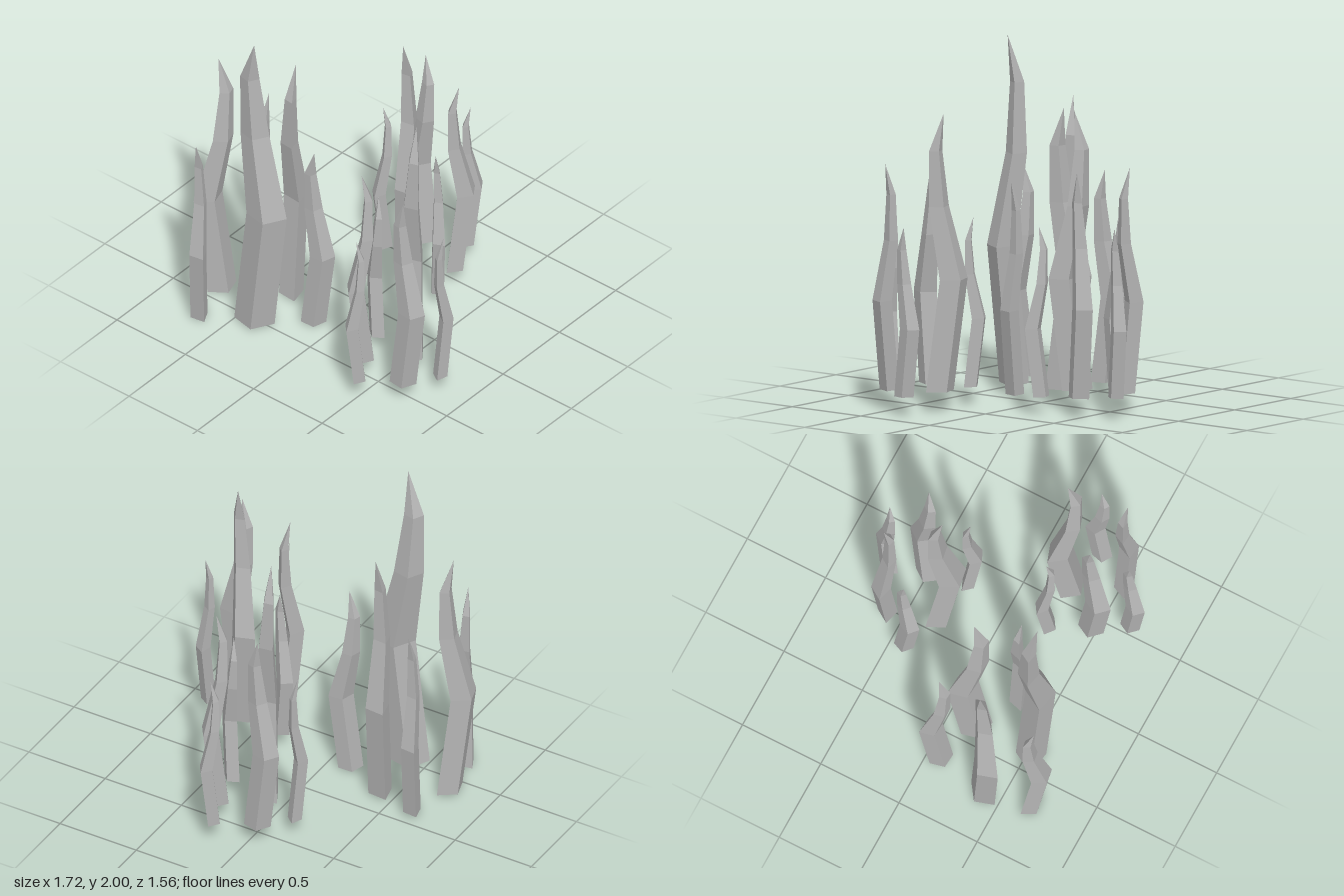
import * as THREE from 'three';

// Slanted four-sided cross-section (x, z), listed anticlockwise from above
const SECTION = [[-0.1075, 0.0485], [0.0355, 0.0785], [0.1075, -0.0485], [-0.0355, -0.0785]];

// Levels of a full-size spike: height, section scale, centre x, centre z
const LEVELS = [
  [0, 1, 0, 0],
  [0.8, 1, 0.097, 0.01],
  [1.32, 0.72, -0.006, -0.012],
  [1.72, 0.48, -0.031, 0.003],
];
const TIP = [0.022, 1.99, 0.029];

// Spikes of one cluster, relative to the main spike: name, x, y, z, turn in degrees, scale
const SPIKES = [
  ['mainSpike', 0, 0.01, 0, 0, 1],
  ['mediumSpikeA', -0.341, 0.01, -0.126, 133, 0.81],
  ['mediumSpikeB', -0.011, 0.01, -0.34, 245, 0.81],
  ['smallSpikeA', 0.255, 0, -0.215, -14, 0.61],
  ['smallSpikeB', -0.272, 0.025, -0.428, 245, 0.61],
  ['smallSpikeC', -0.282, 0, 0.15, 51, 0.61],
];

// Clusters: name, x, y, z, turn in degrees, scale
const CLUSTERS = [
  ['rightCluster', -0.39, 0, 0.52, 0, 1],
  ['leftCluster', 0.568, 0.104, 0.276, -138.6, 0.8],
  ['backCluster', 0.05, 0.104, -0.303, 50.7, 0.8],
];

// Bent spike: stacked sections joined by quads, closed by a base and a point
function spikeGeometry() {
  const positions = [];
  const index = [];
  for (const [y, s, cx, cz] of LEVELS) {
    for (const [x, z] of SECTION) positions.push(cx + x * s, y, cz + z * s);
  }
  positions.push(...TIP);
  const last = (LEVELS.length - 1) * 4;
  for (let i = 0; i < 4; i++) {
    const j = (i + 1) % 4;
    for (let k = 0; k < last; k += 4) {
      index.push(k + i, k + j, k + 4 + j, k + i, k + 4 + j, k + 4 + i);
    }
    index.push(last + i, last + j, last + 4);
  }
  index.push(0, 3, 2, 0, 2, 1);

  const indexed = new THREE.BufferGeometry();
  indexed.setAttribute('position', new THREE.Float32BufferAttribute(positions, 3));
  indexed.setIndex(index);
  const geometry = indexed.toNonIndexed();
  geometry.computeVertexNormals();
  return geometry;
}

function place(object, [name, x, y, z, turn, scale]) {
  object.name = name;
  object.position.set(x, y, z);
  object.rotation.y = -THREE.MathUtils.degToRad(turn);
  object.scale.setScalar(scale);
  return object;
}

export function createModel() {
  const stone = new THREE.MeshStandardMaterial({ color: 0xb4b4b4 });
  stone.name = 'stone grey';
  stone.flatShading = true;
  const geometry = spikeGeometry();

  const model = new THREE.Group();
  model.name = 'stoneSpikes';
  for (const cluster of CLUSTERS) {
    const group = place(new THREE.Group(), cluster);
    for (const spike of SPIKES) group.add(place(new THREE.Mesh(geometry, stone), spike));
    model.add(group);
  }
  return model;
}
